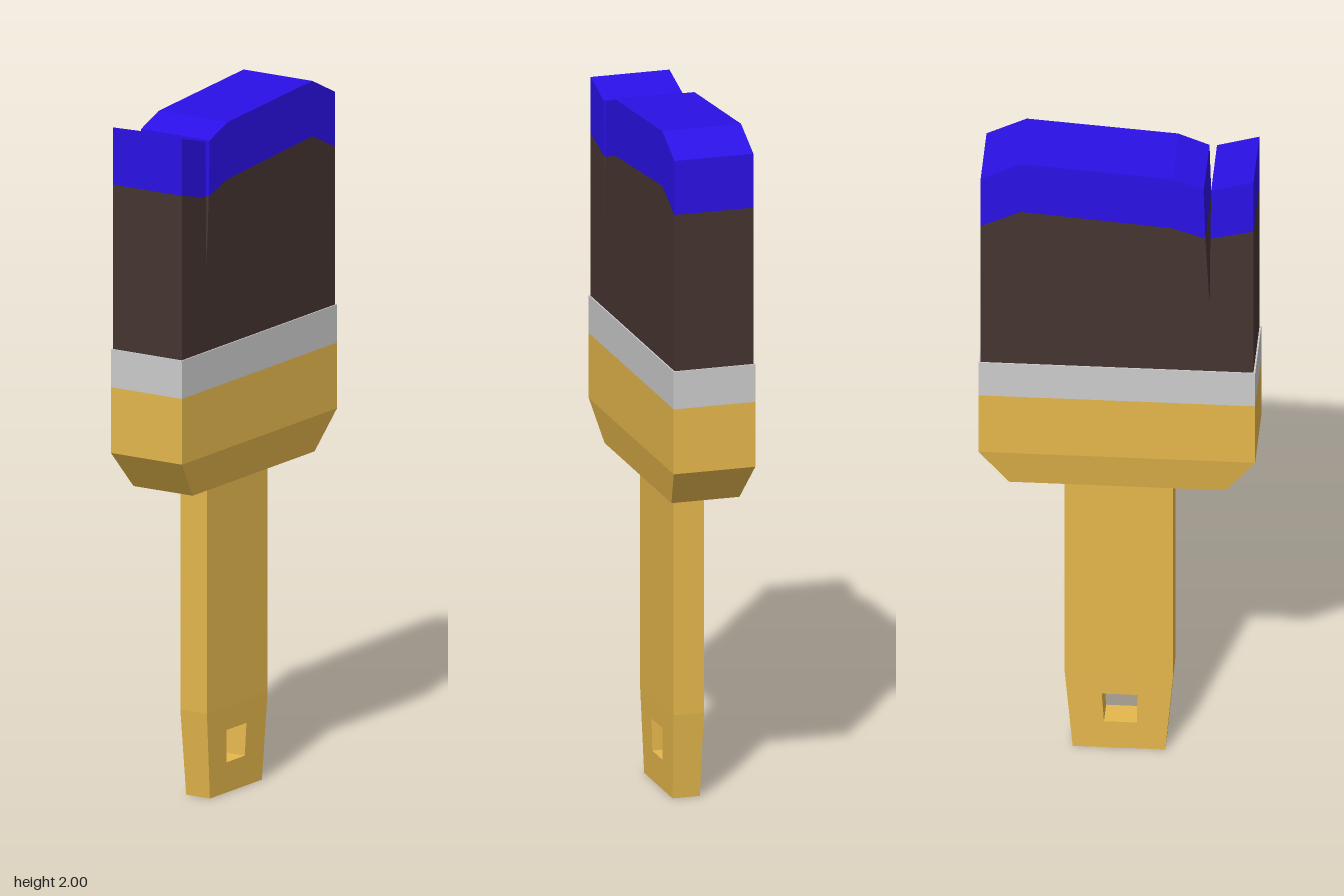
import * as THREE from 'three';

const paint = (color) => new THREE.MeshStandardMaterial({ color, flatShading: true });

export function createModel() {
  const brush = new THREE.Group();
  const wood = paint(0xe5b74c), grey = paint(0xcccccc);
  const hair = paint(0x453430), wet = paint(0x2a10e5);

  function add(name, geometry, material) {
    const mesh = new THREE.Mesh(geometry, material);
    mesh.name = name;
    brush.add(mesh);
  }

  // Profile given as [z, y] points, extruded across x and centred on it
  function slab(points, halfWidth, hole) {
    const toVec = ([z, y]) => new THREE.Vector2(z, y);
    const shape = new THREE.Shape(points.map(toVec));
    if (hole) shape.holes.push(new THREE.Path(hole.map(toVec)));
    return new THREE.ExtrudeGeometry(shape, { depth: halfWidth * 2, bevelEnabled: false })
      .translate(0, 0, -halfWidth).rotateY(-Math.PI / 2);
  }

  // Box between two heights, with half sizes [x, z] at the bottom and the top
  function block(y0, y1, bottom, top) {
    const geo = new THREE.BoxGeometry(2, y1 - y0, 2).translate(0, (y0 + y1) / 2, 0);
    const p = geo.attributes.position;
    for (let i = 0; i < p.count; i++) {
      const [hx, hz] = p.getY(i) < (y0 + y1) / 2 ? bottom : top;
      p.setXYZ(i, p.getX(i) * hx, p.getY(i), p.getZ(i) * hz);
    }
    return geo;
  }

  // Bare wood where a face points straight down: material 1 instead of 0
  function bareUnderside(source) {
    const geo = source.index ? source.toNonIndexed() : source;
    geo.computeVertexNormals();
    geo.clearGroups();
    const n = geo.attributes.normal;
    for (let i = 0; i < n.count; i += 3) geo.addGroup(i, 3, n.getY(i) < -0.95 ? 1 : 0);
    return geo;
  }

  // Handle: tapered end with the hanging hole, then a straight grip
  const end = slab([[-0.13, 0], [0.13, 0], [0.152, 0.25], [-0.152, 0.25]], 0.045,
    [[-0.042, 0.088], [-0.048, 0.182], [0.052, 0.182], [0.05, 0.088]]);
  const p = end.attributes.position;
  for (let i = 0; i < p.count; i++) p.setX(i, p.getX(i) * (0.89 + 0.11 * p.getY(i) / 0.25));
  add('handleEnd', bareUnderside(end), [wood, grey]);
  add('handleGrip', block(0.25, 0.93, [0.045, 0.152], [0.045, 0.152]), wood);

  // Head: chamfered shoulder, straight body and metal band
  const full = [0.12, 0.388];
  add('shoulder', bareUnderside(block(0.92, 1.03, [0.1, 0.305], full)), [wood, grey]);
  add('headBody', block(1.03, 1.22, full, full), wood);
  add('band', block(1.22, 1.33, full, full), grey);

  // Bristles, parted by a narrow slit near the front
  const w = 0.116;
  const tipBottomBack = [[-0.383, 1.787], [-0.27, 1.84], [0.155, 1.805], [0.248, 1.775]];
  const tipTopBack = [[-0.383, 1.945], [-0.27, 2], [0.155, 1.97], [0.243, 1.936]];
  const tipBottomFront = [[0.262, 1.775], [0.383, 1.805]];
  const tipTopFront = [[0.264, 1.936], [0.383, 1.97]];
  add('bristles', slab([[-0.383, 1.33], ...tipBottomBack, [0.26, 1.55],
    ...tipBottomFront, [0.383, 1.33]], w), hair);

  // Paint-dipped tips on both sides of the slit
  add('paintedTipsBack', slab([...tipBottomBack, ...tipTopBack.reverse()], w), wet);
  add('paintedTipsFront', slab([...tipBottomFront, ...tipTopFront.reverse()], w), wet);
  return brush;
}
